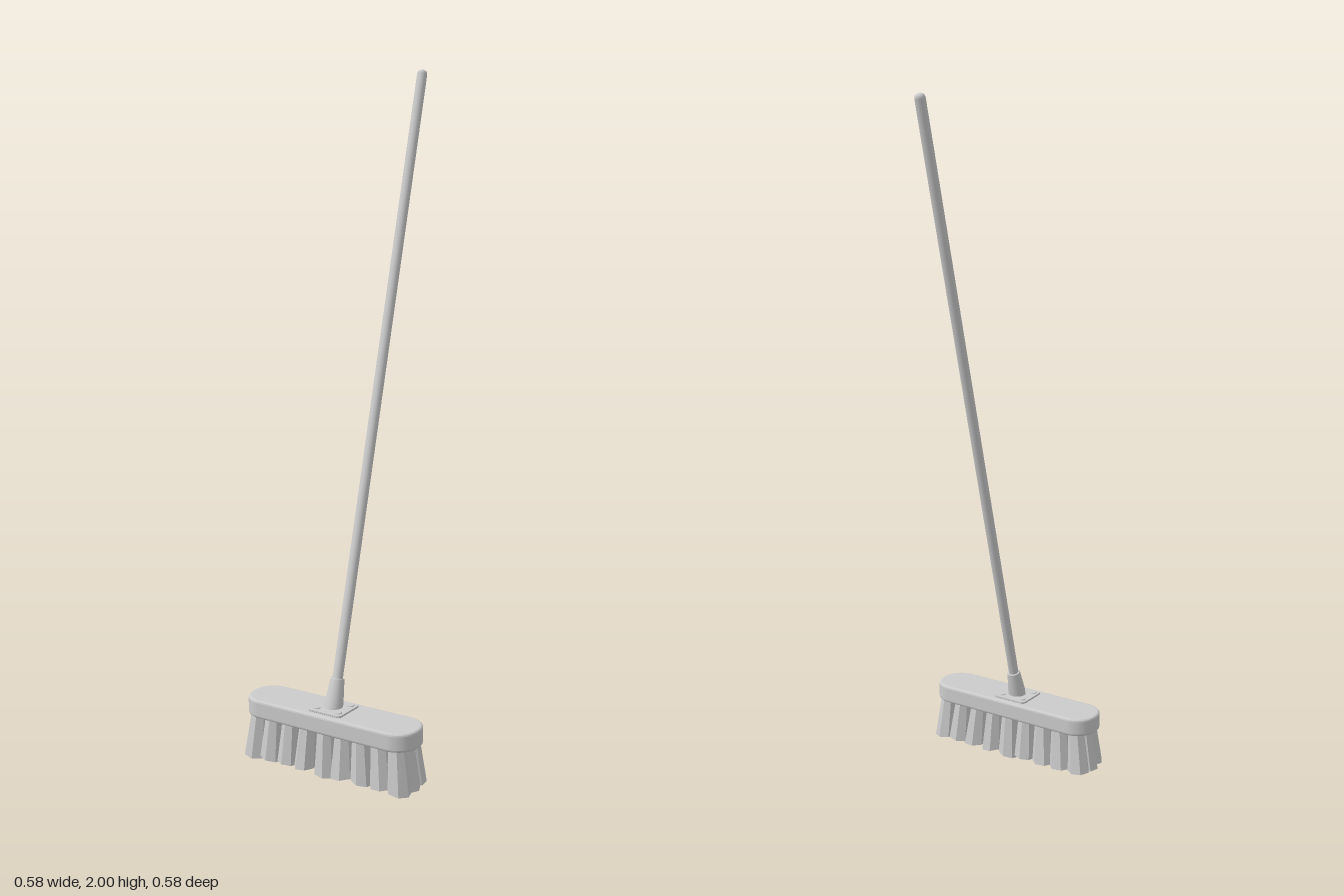
import * as THREE from 'three';

const material = new THREE.MeshStandardMaterial({ color: 0xcccccc });
const flatMaterial = new THREE.MeshStandardMaterial({ color: 0xcccccc, flatShading: true });
const HEAD_Z = 0.205, HEAD_TOP = 0.185, TILT = THREE.MathUtils.degToRad(15);

// Small seeded generator, returns -1..1
function seeded(seed) {
  return () => {
    seed = (seed * 16807) % 2147483647;
    return (seed / 2147483647) * 2 - 1;
  };
}

function addMesh(parent, name, geometry, mat = material) {
  const mesh = new THREE.Mesh(geometry, mat);
  mesh.name = name;
  parent.add(mesh);
  return mesh;
}

// Horizontal slab with rounded corners and softened edges, resting on y = 0
function roundedSlab(width, depth, height, radius, bevel) {
  const x = width / 2 - bevel, y = depth / 2 - bevel, r = radius - bevel;
  const s = new THREE.Shape();
  s.absarc(x - r, y - r, r, 0, Math.PI / 2);
  s.absarc(-x + r, y - r, r, Math.PI / 2, Math.PI);
  s.absarc(-x + r, -y + r, r, Math.PI, Math.PI * 1.5);
  s.absarc(x - r, -y + r, r, Math.PI * 1.5, Math.PI * 2);
  s.closePath();
  const g = new THREE.ExtrudeGeometry(s, {
    depth: height - 2 * bevel, bevelEnabled: true, bevelSize: bevel,
    bevelThickness: bevel, bevelSegments: 3, curveSegments: 10,
  });
  return g.translate(0, 0, bevel).rotateX(-Math.PI / 2);
}

// Seven-sided tuft that flares and leans from its root to its cut end
function tuftGeometry(root, tip, rootRadius, tipRadius, spin, slope) {
  const g = new THREE.CylinderGeometry(rootRadius, tipRadius, 1, 7, 1, false, spin);
  const p = g.attributes.position;
  for (let i = 0; i < p.count; i++) {
    const end = p.getY(i) > 0 ? root : tip;
    const x = p.getX(i), z = p.getZ(i);
    const cut = end === tip ? x * slope : 0;
    p.setXYZ(i, end.x + x, end.y + cut, end.z + z);
  }
  g.computeVertexNormals();
  return g;
}

export function createModel() {
  const broom = new THREE.Group();
  broom.name = 'broom';

  // Brush head block
  const block = addMesh(broom, 'headBlock', roundedSlab(0.57, 0.14, 0.055, 0.066, 0.008));
  block.position.set(0, 0.13, HEAD_Z);

  // Bristle tufts in three rows of nine
  const bristles = new THREE.Group();
  bristles.name = 'bristles';
  broom.add(bristles);
  const random = seeded(4217);
  for (let row = -1; row <= 1; row++) {
    for (let col = -4; col <= 4; col++) {
      const corner = Math.abs(col) === 4 && row !== 0;
      const rootX = col * 0.06 - (corner ? Math.sign(col) * 0.004 : 0);
      const rootZ = HEAD_Z + row * (corner ? 0.037 : 0.041);
      const root = new THREE.Vector3(rootX, 0.138, rootZ);
      const tip = new THREE.Vector3(
        rootX * 1.05 + random() * 0.004,
        0.011 + random() * 0.004,
        rootZ + row * 0.006 + random() * 0.003,
      );
      addMesh(bristles, 'tuft',
        tuftGeometry(root, tip, 0.025, 0.035 + random() * 0.002, random() * Math.PI, random() * 0.18),
        flatMaterial);
    }
  }

  // Mounting plate and its four screws
  const plate = addMesh(broom, 'mountingPlate', roundedSlab(0.114, 0.106, 0.006, 0.012, 0.001));
  plate.position.set(0, HEAD_TOP, HEAD_Z);
  for (const sx of [-1, 1]) for (const sz of [-1, 1]) {
    const screw = addMesh(broom, 'screw', new THREE.CylinderGeometry(0.011, 0.012, 0.003, 20));
    screw.position.set(sx * 0.037, HEAD_TOP + 0.007, HEAD_Z + sz * 0.0325);
  }

  // Tilted socket and pole
  const pole = new THREE.Group();
  pole.name = 'tiltedPole';
  pole.position.set(0, HEAD_TOP, HEAD_Z);
  pole.rotation.x = -TILT;
  broom.add(pole);

  const lathe = (points) =>
    new THREE.LatheGeometry(points.map(([r, y]) => new THREE.Vector2(r, y)), 24);

  // Tapered socket with an open rim around the pole
  addMesh(pole, 'socket', lathe([
    [0, -0.006], [0.027, -0.006], [0.027, -0.006], [0.0265, 0.02], [0.02, 0.086],
    [0.02, 0.086], [0.019, 0.088], [0.019, 0.088], [0.0145, 0.088],
  ]));

  // Handle with a softly domed end
  addMesh(pole, 'handle', lathe([
    [0.015, 0.03], [0.015, 1.866], [0.0142, 1.871], [0.012, 1.875],
    [0.0085, 1.8775], [0.0045, 1.879], [0, 1.8795],
  ]));

  return broom;
}
